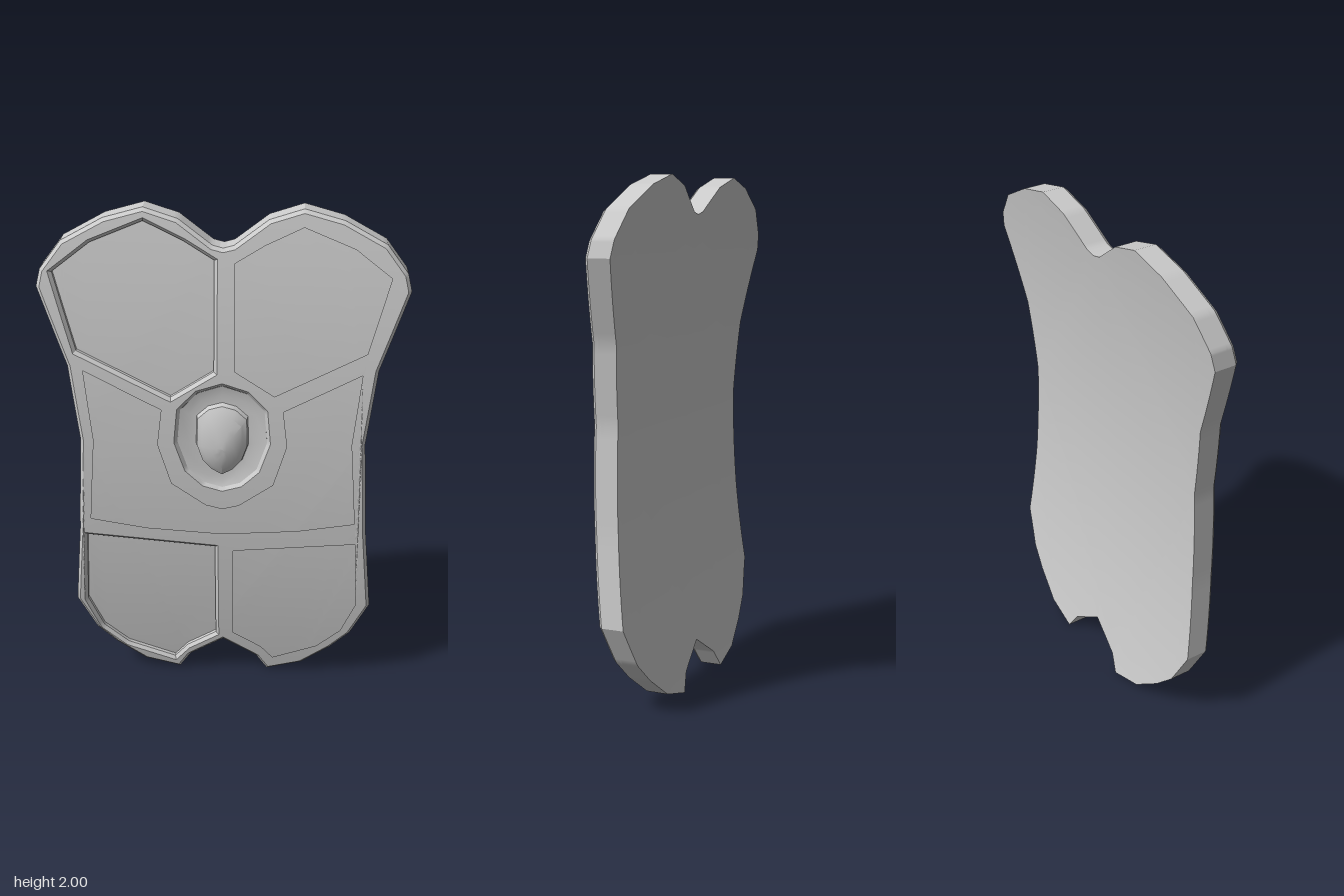
import * as THREE from 'three';
import { toCreasedNormals } from 'three/addons/utils/BufferGeometryUtils.js';

const CREASE = 0.5;

// half profile (x >= 0), continued with its mirror image; points on x = 0 are kept once
function mirrored(half) {
  const other = half.filter(p => p[0] > 0).map(([x, y]) => [-x, y]).reverse();
  return [...half, ...other];
}
const flipped = pts => pts.map(([x, y]) => [-x, y]);
const toVectors = pts => pts.map(([x, y]) => new THREE.Vector2(x, y));

// split every triangle into four, so that flat faces can follow the bend
function subdivide(positions, times) {
  let src = positions;
  for (let n = 0; n < times; n++) {
    const out = [];
    for (let i = 0; i < src.length; i += 9) {
      const a = src.slice(i, i + 3), b = src.slice(i + 3, i + 6), c = src.slice(i + 6, i + 9);
      const mid = (p, q) => [(p[0] + q[0]) / 2, (p[1] + q[1]) / 2, (p[2] + q[2]) / 2];
      const ab = mid(a, b), bc = mid(b, c), ca = mid(c, a);
      out.push(...a, ...ab, ...ca, ...ab, ...b, ...bc, ...ca, ...bc, ...c, ...ab, ...bc, ...ca);
    }
    src = out;
  }
  return src;
}

// the whole shield bows backwards towards its top and bottom
function bend(geometry, times) {
  const flat = geometry.index ? geometry.toNonIndexed() : geometry;
  const pos = subdivide(Array.from(flat.attributes.position.array), times);
  for (let i = 0; i < pos.length; i += 3) pos[i + 2] -= 0.1 * (pos[i + 1] - 1) ** 2;
  const bent = new THREE.BufferGeometry();
  bent.setAttribute('position', new THREE.Float32BufferAttribute(pos, 3));
  return toCreasedNormals(bent, CREASE);
}

// surface through rings of equal point count, each given as { pts, z }, counter-clockwise
function loft(rings) {
  const pos = [], index = [], n = rings[0].pts.length;
  for (const { pts, z } of rings) for (const [x, y] of pts) pos.push(x, y, z);
  for (let r = 0; r < rings.length - 1; r++) {
    for (let i = 0; i < n; i++) {
      const a = r * n + i, b = r * n + (i + 1) % n;
      index.push(a, b, b + n, a, b + n, a + n);
    }
  }
  const g = new THREE.BufferGeometry();
  g.setAttribute('position', new THREE.Float32BufferAttribute(pos, 3));
  g.setIndex(index);
  return g;
}
const scaledAbout = (pts, k, cy) => pts.map(([x, y]) => [x * k, cy + (y - cy) * k]);

// outline, from the top notch down the side to the bottom notch
const outline = mirrored([
  [0, 1.855], [0.04, 1.865], [0.17, 1.96], [0.3, 2], [0.45, 1.96], [0.61, 1.875],
  [0.69, 1.77], [0.705, 1.705], [0.595, 1.4], [0.555, 1.1], [0.575, 0.7], [0.605, 0.36],
  [0.53, 0.21], [0.45, 0.13], [0.33, 0.04], [0.185, 0], [0.14, 0.07], [0.11, 0.09], [0, 0.16],
]);

// sunken panels
const upperPanel = [
  [0.033, 1.81], [0.15, 1.88], [0.3, 1.95], [0.5, 1.87], [0.645, 1.76],
  [0.56, 1.46], [0.2, 1.28], [0.033, 1.385],
];
const lowerPanel = [
  [0.03, 0.63], [0.545, 0.675], [0.56, 0.36], [0.5, 0.22], [0.4, 0.13],
  [0.205, 0.055], [0.15, 0.12], [0.03, 0.195],
];
const middlePanel = mirrored([
  [0, 0.825], [0.06, 0.84], [0.19, 0.93], [0.24, 1.09], [0.222, 1.24], [0.545, 1.4],
  [0.515, 1.1], [0.54, 0.745], [0.3, 0.705], [0, 0.685],
]);

// medallion rings, counter-clockwise from the bottom
const socketOuter = mirrored([
  [0, 0.905], [0.07, 0.925], [0.135, 0.985], [0.175, 1.1], [0.163, 1.23], [0.095, 1.3], [0, 1.33],
]);
const socketInner = mirrored([
  [0, 0.93], [0.05, 0.95], [0.095, 1], [0.13, 1.09], [0.128, 1.21], [0.08, 1.265], [0, 1.29],
]);
const gemOutline = mirrored([
  [0, 0.96], [0.045, 0.985], [0.08, 1.025], [0.103, 1.09], [0.1, 1.205], [0.055, 1.245], [0, 1.26],
]);

export function createModel() {
  const group = new THREE.Group();
  const material = new THREE.MeshStandardMaterial({ color: 0xcccccc });
  const add = (name, geometry) => {
    const mesh = new THREE.Mesh(geometry, material);
    mesh.name = name;
    group.add(mesh);
  };

  // backing plate, its front being the floor of the panels
  const plate = new THREE.ExtrudeGeometry(new THREE.Shape(toVectors(outline)), { depth: 0.07, bevelEnabled: false });
  plate.translate(0, 0, -0.02);
  add('backingPlate', bend(plate, 3));

  // raised rim and ribs, bevelled, with openings for the panels and the medallion
  const frameShape = new THREE.Shape(toVectors(outline));
  const openings = [upperPanel, flipped(upperPanel), lowerPanel, flipped(lowerPanel), middlePanel, socketOuter];
  frameShape.holes = openings.map(pts => new THREE.Path(toVectors(pts)));
  const frame = new THREE.ExtrudeGeometry(frameShape, {
    depth: 0.018, bevelEnabled: true, bevelThickness: 0.014, bevelSize: 0.013, bevelOffset: -0.013, bevelSegments: 1,
  });
  frame.translate(0, 0, 0.05);
  add('rimAndRibs', bend(frame, 3));

  // sloping socket around the gem
  add('gemSocket', bend(loft([
    { pts: socketOuter, z: 0.07 },
    { pts: socketInner, z: 0.06 },
    { pts: scaledAbout(gemOutline, 0.9, 1.1), z: 0.06 },
  ]), 0));

  // domed gem
  const domeSteps = [[1, 0.058], [0.95, 0.082], [0.75, 0.098], [0.45, 0.111], [0.2, 0.118], [0.001, 0.121]];
  const dome = loft(domeSteps.map(([k, z]) => ({ pts: scaledAbout(gemOutline, k, 1.09), z })));
  add('gem', bend(dome, 0));

  return group;
}
